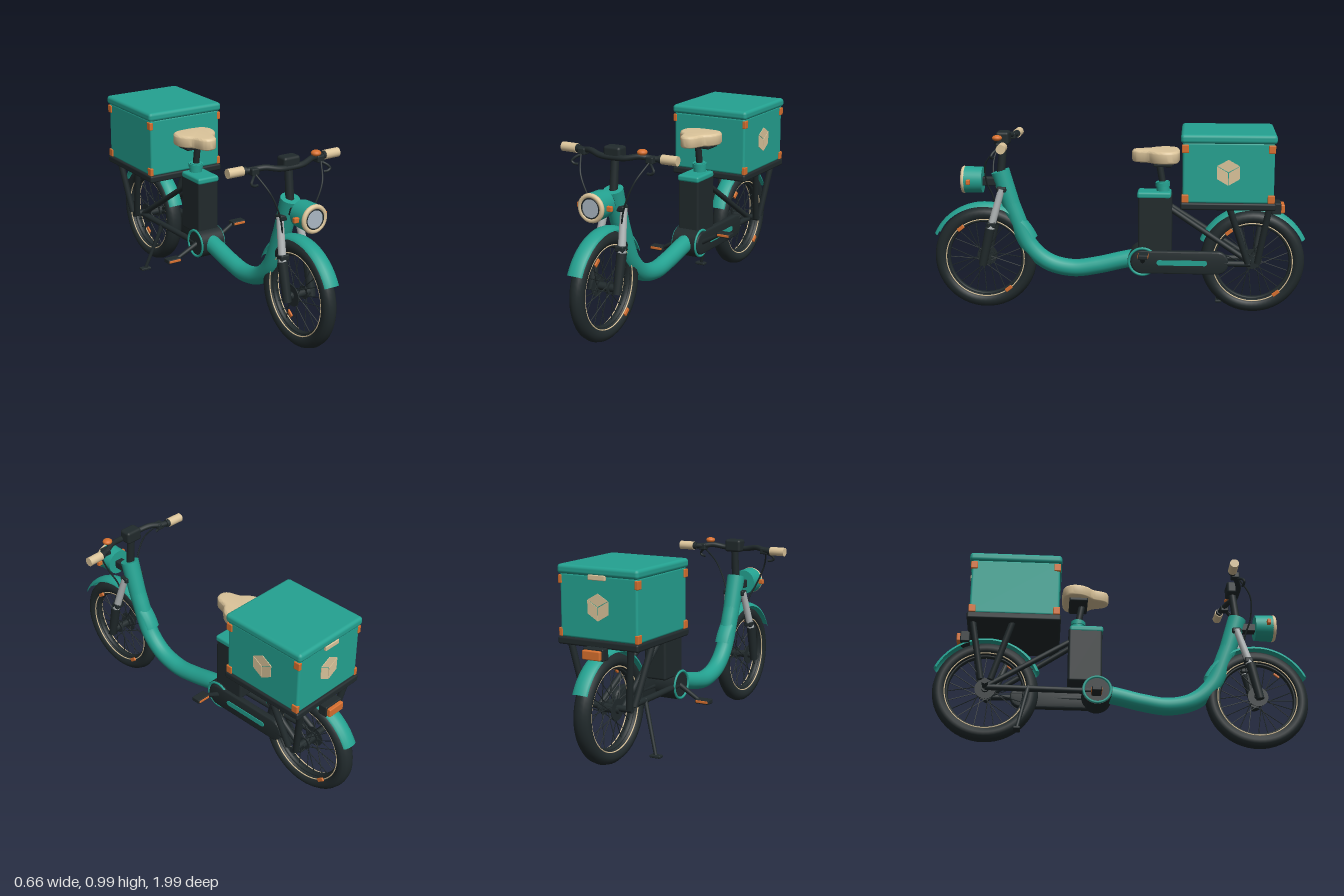
import * as THREE from 'three';
import { RoundedBoxGeometry } from 'three/addons/geometries/RoundedBoxGeometry.js';
import { toCreasedNormals } from 'three/addons/utils/BufferGeometryUtils.js';

const V = (x, y, z) => new THREE.Vector3(x, y, z);

export function createModel() {
  const paint = (name, color, side = THREE.FrontSide) => {
    const m = new THREE.MeshStandardMaterial({ color, side });
    m.name = name;
    return m;
  };
  const teal = paint('teal', 0x24a291, THREE.DoubleSide);
  const dark = paint('charcoal', 0x212a2c);
  const beige = paint('beige', 0xdcc59b);
  const orange = paint('orange', 0xd8702f);
  const silver = paint('silver', 0xaeb3b4);
  const glass = paint('lens', 0xacb9c4);

  const root = new THREE.Group();
  root.name = 'cargoBike';
  const add = (name, geo, mat, pos = [0, 0, 0], parent = root) => {
    const m = new THREE.Mesh(geo, mat);
    m.name = name;
    m.position.set(...pos);
    parent.add(m);
    return m;
  };
  const box = (name, mat, size, pos, r = 0.006, parent = root) =>
    add(name, new RoundedBoxGeometry(...size, 2, r), mat, pos, parent);
  // straight round bar from a to b, optionally tapered
  const rod = (name, mat, a, b, r, r2 = r, parent = root, sides = 16) => {
    const d = V(...b).sub(V(...a));
    const m = add(name, new THREE.CylinderGeometry(r2, r, d.length(), sides), mat, [0, 0, 0], parent);
    m.position.copy(V(...a)).addScaledVector(d, 0.5);
    m.quaternion.setFromUnitVectors(V(0, 1, 0), d.normalize());
    return m;
  };
  const tube = (name, mat, pts, r, n = 32, sides = 10) =>
    add(name, new THREE.TubeGeometry(new THREE.CatmullRomCurve3(pts.map(p => V(...p))), n, r, sides), mat);

  // ---- wheels and fenders ----
  const wheel = (name, z, width) => {
    const g = new THREE.Group();
    g.name = name;
    g.position.set(0, 0.281, z);
    root.add(g);
    const ring = (n, mat, R, r, x, sx) => {
      const m = add(n, new THREE.TorusGeometry(R, r, 12, 56), mat, [x, 0, 0], g);
      m.rotation.y = Math.PI / 2;
      m.scale.z = sx;
    };
    ring('tire', dark, 0.2395, 0.0375, 0, width);
    ring('rim', dark, 0.203, 0.009, 0, 1.8);
    for (const s of [-1, 1]) {
      ring('rimStripe', beige, 0.212, 0.003, s * 0.026 * width, 1);
      rod('hubFlange', dark, [s * 0.028, 0, 0], [s * 0.036, 0, 0], 0.034, 0.034, g);
      // crossed spokes
      for (let i = 0; i < 12; i++) {
        const a = (i + (s > 0 ? 0.5 : 0)) * Math.PI / 6;
        const h = a + (i % 2 ? 0.7 : -0.7);
        rod('spoke', dark, [s * 0.03, Math.sin(h) * 0.03, Math.cos(h) * 0.03],
          [0, Math.sin(a) * 0.205, Math.cos(a) * 0.205], 0.0025, 0.0025, g, 5);
      }
      const refl = box('spokeReflector', orange, [0.01, 0.042, 0.02],
        [0.042, s * 0.165, s * 0.127], 0.003, g);
      refl.rotation.x = -0.9;
    }
    rod('hub', dark, [-0.06, 0, 0], [0.06, 0, 0], 0.02, 0.02, g);
    rod('brakeDisc', dark, [-0.044, 0, 0], [-0.04, 0, 0], 0.055, 0.055, g, 28);
    // fender: curved section turned part-way about the axle
    const profile = [[0.284, -0.042], [0.296, -0.036], [0.303, -0.018], [0.305, 0],
      [0.303, 0.018], [0.296, 0.036], [0.284, 0.042]].map(p => new THREE.Vector2(...p));
    const deg = Math.PI / 180;
    const [from, to] = z > 0 ? [26, 157] : [23, 155];
    add('fender', new THREE.LatheGeometry(profile, 40, from * deg, (to - from) * deg).rotateZ(Math.PI / 2), teal, [0, 0, 0], g);
  };
  wheel('frontWheel', 0.722, 1);
  wheel('rearWheel', -0.714, 1.2);

  // ---- step-through frame ----
  rod('headTube', teal, [0, 0.53, 0.565], [0, 0.755, 0.635], 0.046, 0.05, root, 28);
  tube('downTube', teal, [[0, 0.6, 0.588], [0, 0.53, 0.562], [0, 0.353, 0.485], [0, 0.262, 0.385],
    [0, 0.228, 0.25], [0, 0.245, 0.115], [0, 0.277, -0.02], [0, 0.3, -0.13]], 0.047, 48, 20);
  rod('motor', dark, [-0.068, 0.285, -0.13], [0.068, 0.285, -0.13], 0.08, 0.08, root, 32);
  rod('seatTube', teal, [0, 0.6, -0.24], [0, 0.71, -0.232], 0.036, 0.033, root, 24);
  rod('seatCollar', teal, [0, 0.685, -0.234], [0, 0.705, -0.233], 0.039, 0.039, root, 24);
  box('battery', dark, [0.125, 0.31, 0.18], [0, 0.49, -0.195], 0.012);
  box('batteryCap', teal, [0.13, 0.035, 0.18], [0, 0.642, -0.19], 0.012);

  // capsule outline running rearward along the side
  const capsule = (z0, z1, r) => {
    const s = new THREE.Shape();
    s.absarc(-z1, 0, r, -Math.PI / 2, Math.PI / 2);
    s.absarc(-z0, 0, r, Math.PI / 2, Math.PI * 1.5);
    return s;
  };
  const plate = (shape, depth, bevel = 0) => toCreasedNormals(new THREE.ExtrudeGeometry(shape, {
    depth, curveSegments: 16, bevelEnabled: bevel > 0, bevelSize: bevel, bevelThickness: bevel, bevelSegments: 3,
  }).rotateY(Math.PI / 2), 0.6);
  add('chainCase', plate(capsule(-0.13, -0.525, 0.054), 0.02, 0.008), dark, [0.052, 0.283, 0]);
  add('chainCaseStripe', plate(capsule(-0.22, -0.46, 0.014), 0.004), teal, [0.08, 0.283, 0]);

  for (const s of [-1, 1]) {
    const ring = add('motorRing', new THREE.TorusGeometry(0.072, 0.007, 8, 36), teal, [s * 0.069, 0.285, -0.13]);
    ring.rotation.y = Math.PI / 2;
    rod('chainStay', dark, [s * 0.055, 0.28, -0.15], [s * 0.068, 0.281, -0.714], 0.016);
    rod('seatStay', dark, [s * 0.04, 0.58, -0.26], [s * 0.068, 0.281, -0.714], 0.015);
    // cranks and pedals
    const y = 0.283 + s * 0.068;
    rod('crank', dark, [s * 0.06, 0.283, -0.13], [s * 0.185, y, -0.14], 0.014, 0.01);
    box('pedal', dark, [0.08, 0.024, 0.05], [s * 0.21, y, -0.14], 0.005);
    for (const e of [-1, 1])
      box('pedalReflector', orange, [0.07, 0.014, 0.008], [s * 0.21, y, -0.14 + e * 0.024], 0.003);
  }
  rod('kickstand', dark, [-0.065, 0.29, -0.49], [-0.155, 0.02, -0.54], 0.012, 0.009);
  box('kickstandFoot', dark, [0.06, 0.014, 0.035], [-0.157, 0.016, -0.54], 0.004);

  // ---- fork ----
  for (const s of [-1, 1]) {
    rod('forkStanchion', silver, [s * 0.076, 0.43, 0.688], [s * 0.052, 0.665, 0.622], 0.021, 0.018);
    rod('forkLeg', dark, [s * 0.074, 0.255, 0.728], [s * 0.076, 0.455, 0.684], 0.022, 0.026);
    box('forkCollar', dark, [0.05, 0.032, 0.045], [s * 0.067, 0.475, 0.676], 0.008);
  }
  box('forkCrown', dark, [0.13, 0.03, 0.05], [0, 0.662, 0.622], 0.008);
  rod('steererStem', dark, [0, 0.74, 0.632], [0, 0.93, 0.612], 0.022, 0.02);
  box('display', dark, [0.096, 0.07, 0.07], [0, 0.934, 0.615], 0.014);

  // ---- handlebar ----
  tube('handlebar', dark, [[-0.27, 0.92, 0.578], [-0.2, 0.922, 0.59], [-0.14, 0.93, 0.615], [-0.07, 0.918, 0.638],
    [0, 0.915, 0.64], [0.07, 0.918, 0.638], [0.14, 0.93, 0.615], [0.2, 0.922, 0.59], [0.27, 0.92, 0.578]], 0.015, 48, 12);
  for (const s of [-1, 1]) {
    rod('grip', beige, [s * 0.245, 0.921, 0.579], [s * 0.33, 0.921, 0.577], 0.024, 0.024, root, 20);
    rod('gripCollar', dark, [s * 0.228, 0.921, 0.581], [s * 0.247, 0.921, 0.579], 0.02);
    box('brakeClamp', dark, [0.042, 0.036, 0.045], [s * 0.195, 0.917, 0.6], 0.007);
    tube('brakeLever', dark, [[s * 0.195, 0.905, 0.61], [s * 0.225, 0.885, 0.635], [s * 0.235, 0.87, 0.642],
      [s * 0.222, 0.859, 0.642], [s * 0.198, 0.857, 0.638]], 0.007, 20, 8);
    tube('brakeCable', dark, [[s * 0.195, 0.905, 0.62], [s * 0.155, 0.82, 0.685], [s * 0.105, 0.71, 0.69],
      [s * 0.07, 0.63, 0.665], [s * 0.052, 0.53, 0.65], [s * 0.06, 0.46, 0.66]], 0.0045, 32, 6);
  }
  const bell = add('bell', new THREE.SphereGeometry(0.026, 20, 12), orange, [0.16, 0.955, 0.622]);
  bell.scale.y = 0.6;

  // ---- headlight ----
  const lamp = (name, mat, z0, z1, r0, r1 = r0) => rod(name, mat, [0, 0.706, z0], [0, 0.706, z1], r0, r1, root, 36);
  lamp('headlightBody', teal, 0.728, 0.828, 0.069, 0.072);
  lamp('headlightRecess', dark, 0.82, 0.832, 0.056);
  lamp('headlightLens', glass, 0.825, 0.836, 0.046);
  add('headlightBezel', new THREE.TorusGeometry(0.061, 0.0125, 12, 40), beige, [0, 0.706, 0.829]);
  add('lensTrim', new THREE.TorusGeometry(0.049, 0.004, 8, 36), dark, [0, 0.706, 0.835]);
  box('headlightBracket', dark, [0.05, 0.045, 0.09], [0, 0.7, 0.695]);
  for (const s of [-1, 1])
    box('headlightMarker', orange, [0.03, 0.026, 0.02], [s * 0.083, 0.706, 0.795], 0.004);

  // ---- saddle ----
  const outline = new THREE.Shape();
  outline.moveTo(0, 0.085);
  outline.bezierCurveTo(0.045, 0.085, 0.03, 0.145, 0.06, 0.175);
  outline.bezierCurveTo(0.12, 0.215, 0.115, 0.305, 0.05, 0.305);
  outline.quadraticCurveTo(0, 0.312, -0.05, 0.305);
  outline.bezierCurveTo(-0.115, 0.305, -0.12, 0.215, -0.06, 0.175);
  outline.bezierCurveTo(-0.03, 0.145, -0.045, 0.085, 0, 0.085);
  const saddle = new THREE.ExtrudeGeometry(outline, {
    depth: 0.036, curveSegments: 14, bevelSize: 0.015, bevelThickness: 0.015, bevelSegments: 4,
  }).rotateX(-Math.PI / 2);
  add('saddle', toCreasedNormals(saddle, 0.8), beige, [0, 0.83, 0]);
  box('saddleBase', dark, [0.165, 0.024, 0.1], [0, 0.809, -0.235], 0.008);
  rod('seatPost', dark, [0, 0.7, -0.233], [0, 0.81, -0.214], 0.018);

  // ---- rear rack ----
  box('rackPlatform', dark, [0.454, 0.038, 0.49], [0, 0.62, -0.575], 0.01);
  for (const s of [-1, 1])
    for (const [zt, zb] of [[-0.58, -0.685], [-0.79, -0.735]])
      rod('rackStrut', dark, [s * 0.17, 0.615, zt], [s * 0.124, 0.3, zb], 0.017);
  rod('rackAxleBar', dark, [-0.13, 0.29, -0.714], [0.13, 0.29, -0.714], 0.016);
  box('tailLightHousing', dark, [0.115, 0.06, 0.05], [0, 0.578, -0.833]);
  box('tailLight', orange, [0.1, 0.046, 0.025], [0, 0.576, -0.865]);

  // ---- cargo box ----
  box('cargoBox', teal, [0.436, 0.315, 0.468], [0, 0.793, -0.574], 0.012);
  box('cargoLid', teal, [0.458, 0.048, 0.49], [0, 0.968, -0.575], 0.018);
  for (const sx of [-1, 1])
    for (const sz of [-1, 1])
      for (const y of [0.66, 0.918])
        box('cornerGuard', orange, [0.02, 0.042, 0.036], [sx * 0.215, y, -0.574 + sz * 0.22], 0.004);
  box('lidLatch', beige, [0.095, 0.026, 0.016], [0, 0.94, -0.815], 0.004);

  // hexagonal panel of three rhombic plates, facing +x or -z
  const panel = (pos, turn) => {
    const g = new THREE.Group();
    g.name = 'cubePanel';
    g.position.set(...pos);
    g.rotation.y = turn;
    root.add(g);
    const r = 0.069, a = r * 0.866, gap = 0.0025;
    const rhombus = new THREE.Shape([[0, gap], [a - gap, r / 2], [0, r - gap], [-a + gap, r / 2]]
      .map(p => new THREE.Vector2(...p)));
    for (let i = 0; i < 3; i++) {
      const m = add('panelFacet', new THREE.ExtrudeGeometry(rhombus, { depth: 0.005, bevelEnabled: false }), beige, [0, 0, 0], g);
      m.rotation.z = i * Math.PI * 2 / 3;
    }
  };
  panel([0.216, 0.797, -0.574], Math.PI / 2);
  panel([0, 0.797, -0.806], Math.PI);

  return root;
}
